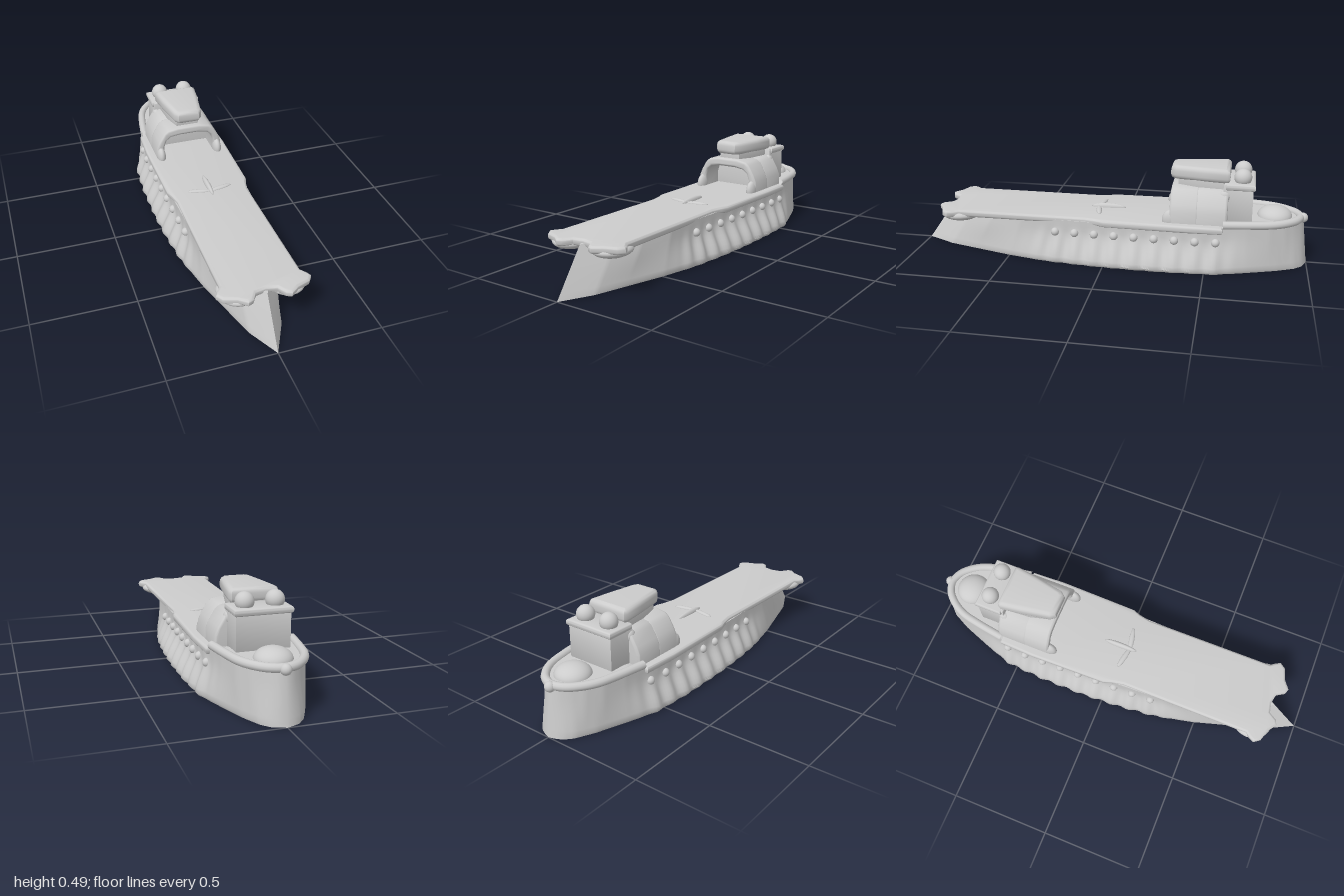
import * as THREE from 'three';
import { toCreasedNormals } from 'three/addons/utils/BufferGeometryUtils.js';

const material = new THREE.MeshStandardMaterial({ color: 0xcccccc });

function add(parent, name, geometry, x = 0, y = 0, z = 0) {
  const mesh = new THREE.Mesh(geometry, material);
  mesh.name = name;
  mesh.position.set(x, y, z);
  parent.add(mesh);
  return mesh;
}

// Mirrors a half outline given from the centre line outwards and back
const mirror = (half) => [...half, ...half.filter(([x]) => x > 0).reverse().map(([x, y]) => [-x, y])];

function extrude(points, depth, bevel) {
  const shape = new THREE.Shape(points.map(([x, y]) => new THREE.Vector2(x, y)));
  const g = new THREE.ExtrudeGeometry(shape, {
    depth: depth - 2 * bevel, bevelThickness: bevel, bevelSize: bevel,
    bevelOffset: -bevel, bevelSegments: 4, steps: 1,
  });
  g.translate(0, 0, bevel);
  return g;
}

// Horizontal plate from a half outline in x, z
function plate(half, y0, y1, bevel) {
  const g = extrude(mirror(half).map(([x, z]) => [x, -z]), y1 - y0, bevel);
  g.rotateX(-Math.PI / 2).translate(0, y0, 0);
  return toCreasedNormals(g, 0.8);
}

// Upright plate from a half outline in x, y
function upright(points, z0, z1, bevel) {
  return toCreasedNormals(extrude(points, z1 - z0, bevel).translate(0, 0, z0), 0.8);
}

const { lerp, smoothstep } = THREE.MathUtils;

function table(rows, z) {
  for (let i = 1; i < rows.length; i++) {
    const [z0, w0] = rows[i - 1], [z1, w1] = rows[i];
    if (z >= z1) return lerp(w0, w1, (z - z0) / (z1 - z0));
  }
  return rows[rows.length - 1][1];
}

const KEEL = [[1, 0], [0.85, 0.08], [0.7, 0.125], [0.5, 0.185], [0.3, 0.23], [0.1, 0.252], [-0.1, 0.263],
  [-0.35, 0.263], [-0.55, 0.25], [-0.7, 0.2], [-0.85, 0.145], [-0.94, 0.1], [-0.98, 0.06], [-1, 0]];
const RAIL = [[1, 0], [0.85, 0.085], [0.7, 0.14], [0.5, 0.178], [0.3, 0.188], [0, 0.198], [-0.5, 0.208],
  [-0.7, 0.185], [-0.82, 0.158], [-0.9, 0.12], [-0.95, 0.08], [-0.985, 0.04], [-1, 0]];
const LEVELS = [0, 0.06, 0.15, 0.25, 0.35, 0.45, 0.55, 0.65, 0.75, 0.87, 1];

// Half width of the hull at station z and height fraction v, with ribbed flanks
function hullX(z, v) {
  const w = lerp(table(KEEL, z), table(RAIL, z), smoothstep(v, 0, 0.8));
  const zone = smoothstep(z, -0.7, -0.5) * (1 - smoothstep(z, 0.25, 0.45));
  const rib = Math.cos((z - 0.25) * 20 * Math.PI) * Math.sin(Math.PI * Math.min(1, v * 1.1 + 0.12));
  return Math.max(0, w + 0.009 * zone * rib - (v === 0 ? 0.04 * w : 0));
}

function hullGeometry() {
  const stations = 160, positions = [], index = [];
  const n = 2 * LEVELS.length + 2;
  for (let i = 0; i <= stations; i++) {
    const z = 1 - (2 * i) / stations;
    const top = 0.222 + 0.028 * smoothstep(-z, 0.5, 0.65);
    const point = (side, v) => {
      // raked stem at the bow, slight rake at the stern
      const zz = z - 0.15 * v * smoothstep(z, 0, 1) + 0.03 * v * smoothstep(-z, 0.6, 1);
      positions.push(side * hullX(z, v), lerp(0.008, top, v), zz);
    };
    point(0, 0);
    LEVELS.forEach((v) => point(1, v));
    point(0, 1);
    [...LEVELS].reverse().forEach((v) => point(-1, v));
  }
  for (let i = 0; i < stations; i++) {
    for (let j = 0; j < n; j++) {
      const a = i * n + j, b = i * n + (j + 1) % n;
      index.push(a, a + n, b, b, a + n, b + n);
    }
  }
  const g = new THREE.BufferGeometry();
  g.setAttribute('position', new THREE.Float32BufferAttribute(positions, 3));
  g.setIndex(index);
  return toCreasedNormals(g, 0.9);
}

export function createModel() {
  const ship = new THREE.Group();
  ship.name = 'ship';

  add(ship, 'hull', hullGeometry());

  // Flight deck with notched, winged front edge
  add(ship, 'flightDeck', plate([[0, 0.83], [0.05, 0.84], [0.075, 0.88], [0.1, 0.89], [0.14, 0.86], [0.2, 0.84],
    [0.222, 0.81], [0.21, 0.785], [0.19, 0.76], [0.188, 0.1], [0.2, 0.04], [0.214, 0], [0.222, -0.4],
    [0.215, -0.58], [0, -0.6]], 0.205, 0.24, 0.012));

  // Flare carrying the deck above the stem
  for (const s of [-1, 1]) {
    const flare = add(ship, 'deckFlare', new THREE.SphereGeometry(1, 24, 16), s * 0.115, 0.205, 0.77);
    flare.scale.set(0.09, 0.035, 0.1);
  }

  // Blisters along both flanks
  for (const s of [-1, 1]) {
    for (let i = 0; i < 9; i++) {
      const z = 0.25 - 0.1 * i;
      add(ship, 'blister', new THREE.SphereGeometry(0.021, 16, 12), s * (hullX(z, 0.7) - 0.004), 0.16, z);
    }
  }

  // Low raised aircraft marker on the deck
  const marker = new THREE.Group();
  marker.name = 'deckMarker';
  ship.add(marker);
  add(marker, 'markerBody', new THREE.SphereGeometry(1, 16, 12), 0, 0.24, 0.01).scale.set(0.014, 0.02, 0.09);
  for (const s of [-1, 1]) {
    const wing = add(marker, 'markerWing', new THREE.SphereGeometry(1, 16, 10), s * 0.055, 0.24, 0.05);
    wing.scale.set(0.062, 0.01, 0.014);
    wing.rotation.y = s * 0.2;
  }

  // Stern bulwark following the rail, and the dome inside it
  const path = mirror([[0, -0.955], [0.06, -0.935], [0.11, -0.885], [0.145, -0.82], [0.168, -0.72], [0.19, -0.58]]);
  const ordered = [...path.slice(6), ...path.slice(0, 6)];
  const curve = new THREE.CatmullRomCurve3(ordered.map(([x, z]) => new THREE.Vector3(x, 0.248, z)));
  add(ship, 'sternBulwark', new THREE.TubeGeometry(curve, 80, 0.02, 12));
  add(ship, 'sternTip', new THREE.SphereGeometry(0.025, 16, 12), 0, 0.245, -0.968);
  add(ship, 'sternDome', new THREE.SphereGeometry(0.086, 32, 20), 0, 0.245, -0.83).scale.y = 0.65;

  // Arched hangar: open frame in front, solid house behind
  const outer = [[0.182, 0.23], [0.18, 0.295], [0.165, 0.33], [0.135, 0.38], [0.115, 0.395], [0.06, 0.405]];
  const inner = [[0.135, 0.23], [0.137, 0.3], [0.125, 0.335], [0.1, 0.355], [0.05, 0.362]];
  const flip = (pts) => pts.map(([x, y]) => [-x, y]).reverse();
  add(ship, 'hangarFrame', upright([...outer, ...flip(outer), ...[...inner].map(([x, y]) => [-x, y]),
    ...[...inner].reverse()], -0.46, -0.32, 0.012));
  add(ship, 'hangarHouse', upright([...outer, ...flip(outer)], -0.6, -0.445, 0.012));
  for (const s of [-1, 1]) {
    const foot = add(ship, 'hangarFoot', new THREE.SphereGeometry(1, 20, 14), s * 0.158, 0.25, -0.325);
    foot.scale.set(0.024, 0.05, 0.042);
  }

  // Bridge: narrow neck flaring into an overhanging cabin
  const cabin = (w) => [[0, -0.335], [0.055 * w, -0.335], [0.075 * w, -0.36], [0.1 * w, -0.48],
    [0.115 * w, -0.59], [0.105 * w, -0.605], [0, -0.605]];
  add(ship, 'bridgeNeck', plate([[0, -0.35], [0.06, -0.35], [0.085, -0.45], [0.095, -0.6], [0, -0.6]],
    0.385, 0.45, 0.01));
  add(ship, 'bridgeCabin', plate(cabin(1).map(([x, z]) => [x, z > -0.4 ? z + 0.022 : z]), 0.43, 0.5, 0.024));

  // Square tower with a lip and two domes
  const rect = (w, z0, z1) => [[0, z0], [w, z0], [w, z1], [0, z1]];
  add(ship, 'tower', plate(rect(0.125, -0.575, -0.718), 0.235, 0.435, 0.01));
  add(ship, 'towerLip', plate(rect(0.134, -0.585, -0.728), 0.405, 0.437, 0.012));
  for (const s of [-1, 1]) {
    add(ship, 'towerDome', new THREE.SphereGeometry(0.043, 24, 18), s * 0.07, 0.458, -0.665);
    add(ship, 'towerSidePod', new THREE.SphereGeometry(1, 16, 12), s * 0.115, 0.37, -0.58).scale.set(0.022, 0.03, 0.03);
  }

  return ship;
}
